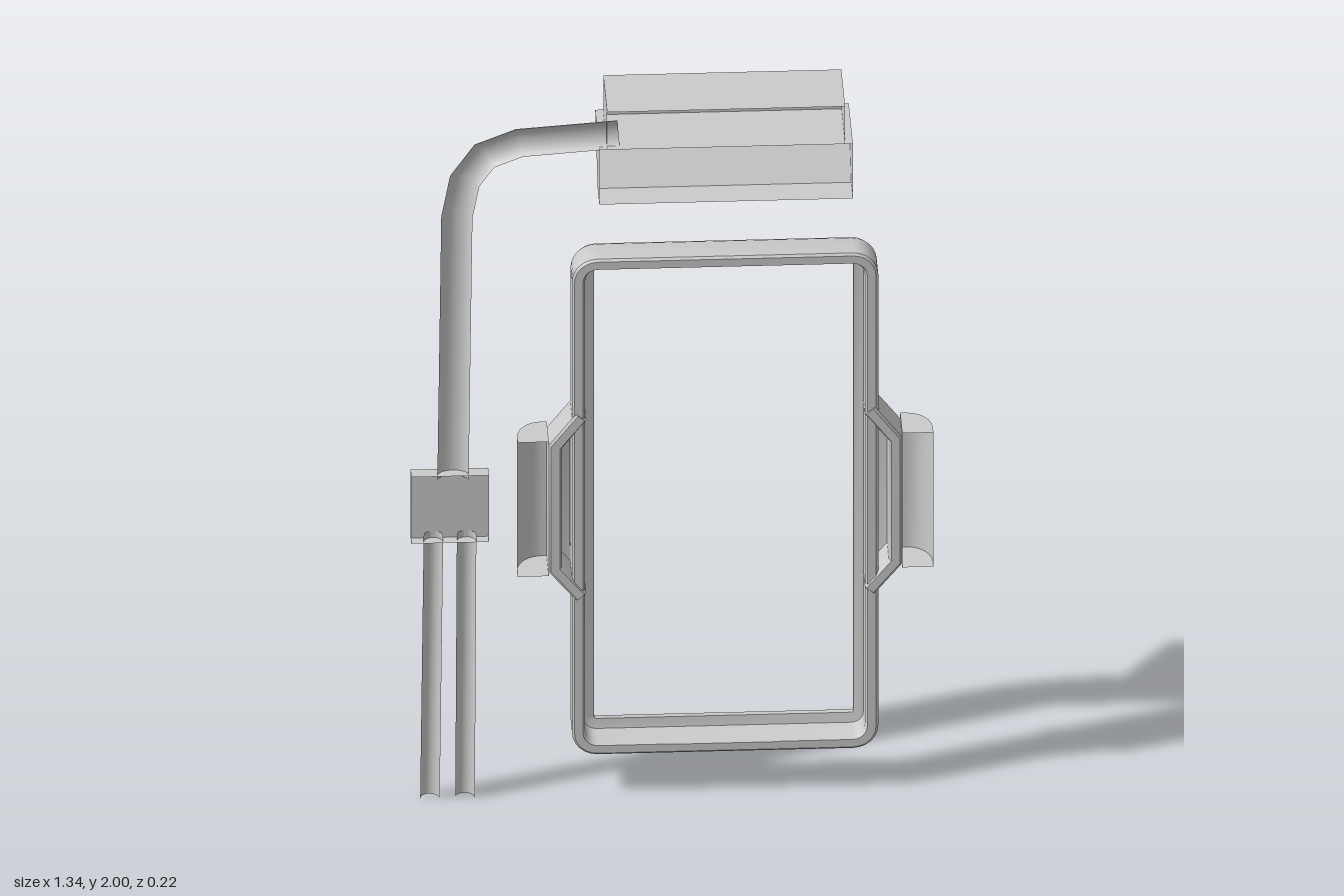
import * as THREE from 'three';
import { toCreasedNormals } from 'three/addons/utils/BufferGeometryUtils.js';

const grey = new THREE.MeshStandardMaterial({ color: 0xcccccc, side: THREE.DoubleSide });
const CX = 0.133; // centre line of the frame

function mesh(name, geometry, parent) {
  const m = new THREE.Mesh(geometry, grey);
  m.name = name;
  parent.add(m);
  return m;
}

function fromTriangles(points, indices) {
  const g = new THREE.BufferGeometry();
  g.setAttribute('position', new THREE.Float32BufferAttribute(points.flat(), 3));
  g.setIndex(indices);
  return toCreasedNormals(g, 0.6);
}

const triangulate = (pts) =>
  THREE.ShapeUtils.triangulateShape(pts.map(([u, v]) => new THREE.Vector2(u, v)), []);

// Sweeps a (offset, z) profile along an (x, y) path with mitred bends.
function sweep(profile, path, { loop = false, closedProfile = true } = {}) {
  const n = path.length, k = profile.length, points = [], indices = [];
  const normal = (a, b) => {
    const dx = b[0] - a[0], dy = b[1] - a[1], l = Math.hypot(dx, dy);
    return [-dy / l, dx / l];
  };
  path.forEach((p, i) => {
    const hasPrev = loop || i > 0, hasNext = loop || i < n - 1;
    let a = hasPrev ? normal(path[(i + n - 1) % n], p) : null;
    let b = hasNext ? normal(p, path[(i + 1) % n]) : a;
    a = a || b;
    const s = 1 / (1 + a[0] * b[0] + a[1] * b[1]);
    for (const [d, z] of profile) {
      points.push([p[0] + (a[0] + b[0]) * s * d, p[1] + (a[1] + b[1]) * s * d, z]);
    }
  });
  for (let i = 0; i < (loop ? n : n - 1); i++) {
    for (let j = 0; j < (closedProfile ? k : k - 1); j++) {
      const a = i * k + j, b = i * k + (j + 1) % k;
      const c = ((i + 1) % n) * k + j, d = ((i + 1) % n) * k + (j + 1) % k;
      indices.push(a, c, b, b, c, d);
    }
  }
  if (!loop && closedProfile) {
    const end = (n - 1) * k;
    for (const [a, b, c] of triangulate(profile)) {
      indices.push(a, b, c, end + a, end + c, end + b);
    }
  }
  return fromTriangles(points, indices);
}

// Prism with end caps, left open between the last and first profile points.
function openPrism(profile, from, to, map) {
  const k = profile.length, points = [], indices = [];
  for (const w of [from, to]) for (const [u, v] of profile) points.push(map(u, v, w));
  for (let j = 0; j < k - 1; j++) indices.push(j, j + 1, k + j, j + 1, k + j + 1, k + j);
  for (const [a, b, c] of triangulate(profile)) indices.push(a, c, b, k + a, k + b, k + c);
  return fromTriangles(points, indices);
}
const alongX = (z, y, x) => [x, y, z];
const alongY = (x, z, y) => [x, y, z];

// Flat plate with rectangular windows; rectangles are [x0, y0, x1, y1].
function plate(outer, holes, z, depth) {
  const corners = ([a, b, c, d]) => [[a, b], [c, b], [c, d], [a, d]].map((p) => new THREE.Vector2(...p));
  const shape = new THREE.Shape(corners(outer));
  holes.forEach((h) => shape.holes.push(new THREE.Path(corners(h))));
  return new THREE.ExtrudeGeometry(shape, { depth, bevelEnabled: false }).translate(0, 0, z);
}

// Channel section: front rim, inner step, lip and rounded back edge.
const channel = (front, back) => [
  [0.006, front], [0.028, front], [0.034, front - 0.012], [0.034, back + 0.03],
  [0.06, back + 0.024], [0.06, back + 0.008], [0.05, back], [0.022, back],
  [0.008, back + 0.007], [0, back + 0.025], [0, front - 0.006],
];

function roundedLoop(x0, y0, x1, y1, r, steps) {
  const path = [];
  [[x1 - r, y0 + r], [x1 - r, y1 - r], [x0 + r, y1 - r], [x0 + r, y0 + r]].forEach(([x, y], q) => {
    for (let i = 0; i <= steps; i++) {
      const t = (q - 1 + i / steps) * Math.PI / 2;
      path.push([x + r * Math.cos(t), y + r * Math.sin(t)]);
    }
  });
  return path;
}

// Half-round section, convex to the back.
function halfPipe(halfWidth, front, depth) {
  const pts = [];
  for (let i = 0; i <= 8; i++) {
    const t = Math.PI * i / 8;
    pts.push([-halfWidth * Math.cos(t), front - depth * Math.sin(t)]);
  }
  return pts;
}

export function createModel() {
  const model = new THREE.Group();
  model.name = 'frameWithHose';

  // Main rectangular frame
  mesh('frame', sweep(channel(0.105, -0.005), roundedLoop(-0.26, 0.12, 0.525, 1.57, 0.065, 6), { loop: true }), model);
  mesh('bottomSlot', new THREE.BoxGeometry(0.28, 0.008, 0.006).translate(CX, 0.144, 0.104), model);

  // Side sleeves and curved grips, mirrored about the frame
  const sleevePath = [[-0.25, 1.12], [-0.32, 1.03], [-0.32, 0.66], [-0.25, 0.575]];
  const gripProfile = [[-0.32, 0.108], [-0.32, 0.0]];
  for (let i = 0; i <= 6; i++) {
    const t = Math.PI / 2 * i / 6;
    gripProfile.push([-0.335 - 0.065 * Math.sin(t), 0.08 - 0.08 * Math.cos(t)]);
  }
  gripProfile.push([-0.4, 0.108]);
  const flip = ([x, y]) => [2 * CX - x, y];
  for (const side of ['right', 'left']) {
    const path = side === 'left' ? sleevePath.map(flip).reverse() : sleevePath;
    const grip = side === 'left' ? gripProfile.map(flip).reverse() : gripProfile;
    mesh(side + 'Sleeve', sweep(channel(0.11, -0.018), path), model);
    mesh(side + 'Grip', openPrism(grip, 0.65, 1.043, alongY), model);
  }

  // Head: hollow box with two rear windows over a sloped hood
  const head = new THREE.Group();
  head.name = 'head';
  model.add(head);
  mesh('headBox', openPrism([[0.1, 2], [-0.082, 2], [-0.082, 1.892], [0.1, 1.892]], -0.17, 0.44, alongX), head);
  mesh('windowFrame', plate([-0.17, 1.89, 0.44, 2],
    [[-0.15, 1.905, 0.1, 1.988], [0.165, 1.905, 0.425, 1.988]], -0.095, 0.013), head);
  mesh('hood', openPrism([[0.1, 1.89], [-0.112, 1.89], [0.015, 1.73], [0.1, 1.73]], -0.19, 0.46, alongX), head);

  // Bent hose and the two lower tubes
  const hosePath = [[-0.14, 1.93], [-0.395, 1.912], [-0.485, 1.876], [-0.535, 1.805], [-0.555, 1.7], [-0.565, 0.93]];
  mesh('hose', sweep(halfPipe(0.04, 0.095, 0.028), hosePath, { closedProfile: false }), model);
  for (const [top, bottom] of [[-0.615, -0.624], [-0.53, -0.534]]) {
    mesh('lowerTube', sweep(halfPipe(0.025, 0.095, 0.026), [[top, 0.77], [bottom, 0]], { closedProfile: false }), model);
  }

  // Control box with rear screen, slot and knob
  const control = new THREE.Group();
  control.name = 'controlBox';
  model.add(control);
  mesh('controlCase', openPrism([[0.1, 0.945], [0.07, 0.945], [0.07, 0.75], [0.1, 0.75]], -0.672, -0.473, alongX), control);
  mesh('controlPanel', plate([-0.672, 0.75, -0.473, 0.945],
    [[-0.655, 0.84, -0.492, 0.93], [-0.66, 0.795, -0.583, 0.806]], 0.06, 0.01), control);
  const knob = mesh('knob', new THREE.CylinderGeometry(0.027, 0.027, 0.022, 8).rotateX(Math.PI / 2), control);
  knob.position.set(-0.52, 0.795, 0.047);
  const neck = mesh('knobNeck', new THREE.CylinderGeometry(0.018, 0.018, 0.012, 8).rotateX(Math.PI / 2), control);
  neck.position.set(-0.52, 0.795, 0.06);

  return model;
}
